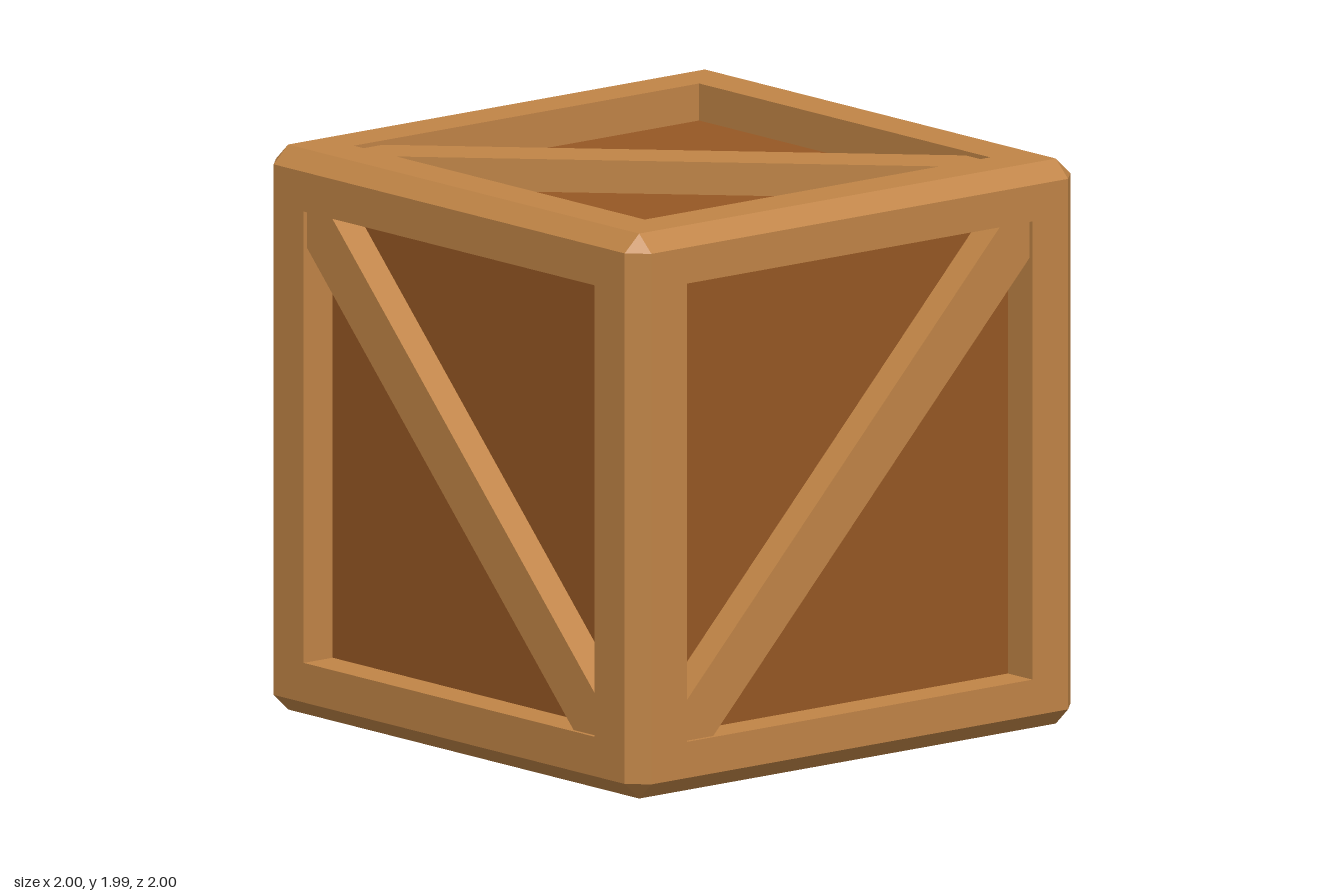
import * as THREE from 'three';

const HALF = [1, 0.9925, 1];            // outer half sizes
const FLAT = [0.935, 0.932, 0.935];     // half sizes of the flat faces inside the chamfers
const RECESS = 0.13;                    // depth of the panels below the frame
const BRACE_DROP = 0.015;               // brace sits slightly below the frame
const BRACE = 0.13;                     // brace half width measured along the opening

// Chamfered edges (12 strips) and corners (8 triangles)
function chamferGeometry() {
  const out = [];
  const point = (signs, axis) =>
    new THREE.Vector3(...signs.map((s, i) => s * (i === axis ? HALF[i] : FLAT[i])));
  const tri = (a, b, c) => {
    const n = b.clone().sub(a).cross(c.clone().sub(a));
    const pts = n.dot(a.clone().add(b).add(c)) > 0 ? [a, b, c] : [a, c, b];
    pts.forEach(p => out.push(p.x, p.y, p.z));
  };
  for (let c = 0; c < 3; c++) {
    const a = (c + 1) % 3, b = (c + 2) % 3;
    for (const sa of [-1, 1]) for (const sb of [-1, 1]) {
      const lo = [], hi = [];
      lo[a] = hi[a] = sa; lo[b] = hi[b] = sb; lo[c] = -1; hi[c] = 1;
      tri(point(lo, a), point(hi, a), point(hi, b));
      tri(point(lo, a), point(hi, b), point(lo, b));
    }
  }
  for (const x of [-1, 1]) for (const y of [-1, 1]) for (const z of [-1, 1]) {
    const s = [x, y, z];
    tri(point(s, 0), point(s, 1), point(s, 2));
  }
  const geo = new THREE.BufferGeometry();
  geo.setAttribute('position', new THREE.Float32BufferAttribute(out, 3));
  geo.computeVertexNormals();
  return geo;
}

const polygon = pts => new THREE.Shape(pts.map(p => new THREE.Vector2(...p)));
const rect = (w, h) => [[-w, -h], [w, -h], [w, h], [-w, h]];

export function createModel() {
  const crate = new THREE.Group();
  crate.name = 'crate';
  const frameWood = new THREE.MeshStandardMaterial({ color: 0xc08446 });
  frameWood.name = 'light frame wood';
  const panelWood = new THREE.MeshStandardMaterial({ color: 0x965724 });
  panelWood.name = 'dark panel wood';

  const add = (parent, name, geo, mat) => {
    const mesh = new THREE.Mesh(geo, mat);
    mesh.name = name;
    parent.add(mesh);
    return mesh;
  };

  const body = new THREE.Group();
  body.name = 'body';
  body.position.y = HALF[1];
  crate.add(body);

  // Inner box whose faces are the recessed panels
  add(body, 'panels', new THREE.BoxGeometry(...HALF.map(h => 2 * (h - RECESS))), panelWood);
  add(body, 'chamferedEdges', chamferGeometry(), frameWood);

  // Each side: right and up axes, opening half sizes, brace direction
  const X = [1, 0, 0], Y = [0, 1, 0], Z = [0, 0, 1];
  const neg = v => v.map(c => -c);
  const sides = [
    ['front', X, Y, 0.775, 0.793, -1],
    ['back', neg(X), Y, 0.775, 0.793, 1],
    ['left', neg(Z), Y, 0.775, 0.805, 1],
    ['right', Z, Y, 0.775, 0.805, -1],
    ['top', X, neg(Z), 0.775, 0.775, 1],
    ['bottom', X, Z, 0.775, 0.775, -1],
  ];

  for (const [name, right, up, w, h, slope] of sides) {
    const u = new THREE.Vector3(...right), v = new THREE.Vector3(...up);
    const n = u.clone().cross(v);
    const extent = (dir, sizes) => Math.abs(dir.dot(new THREE.Vector3(...sizes)));
    const side = new THREE.Group();
    side.name = name + 'Side';
    side.quaternion.setFromRotationMatrix(new THREE.Matrix4().makeBasis(u, v, n));
    side.position.copy(n).multiplyScalar(extent(n, HALF) - RECESS);
    body.add(side);

    // Square frame around the opening
    const frame = polygon(rect(extent(u, FLAT), extent(v, FLAT)));
    frame.holes.push(polygon(rect(w, h)));
    add(side, name + 'Frame',
      new THREE.ExtrudeGeometry(frame, { depth: RECESS, bevelEnabled: false }), frameWood);

    // Diagonal brace fitted into two corners of the opening
    const brace = polygon([
      [-w, -h], [-w + BRACE, -h], [w, h - BRACE],
      [w, h], [w - BRACE, h], [-w, -h + BRACE],
    ].map(([x, y]) => [x * slope, y]));
    add(side, name + 'Brace',
      new THREE.ExtrudeGeometry(brace, { depth: RECESS - BRACE_DROP, bevelEnabled: false }), frameWood);
  }
  return crate;
}
